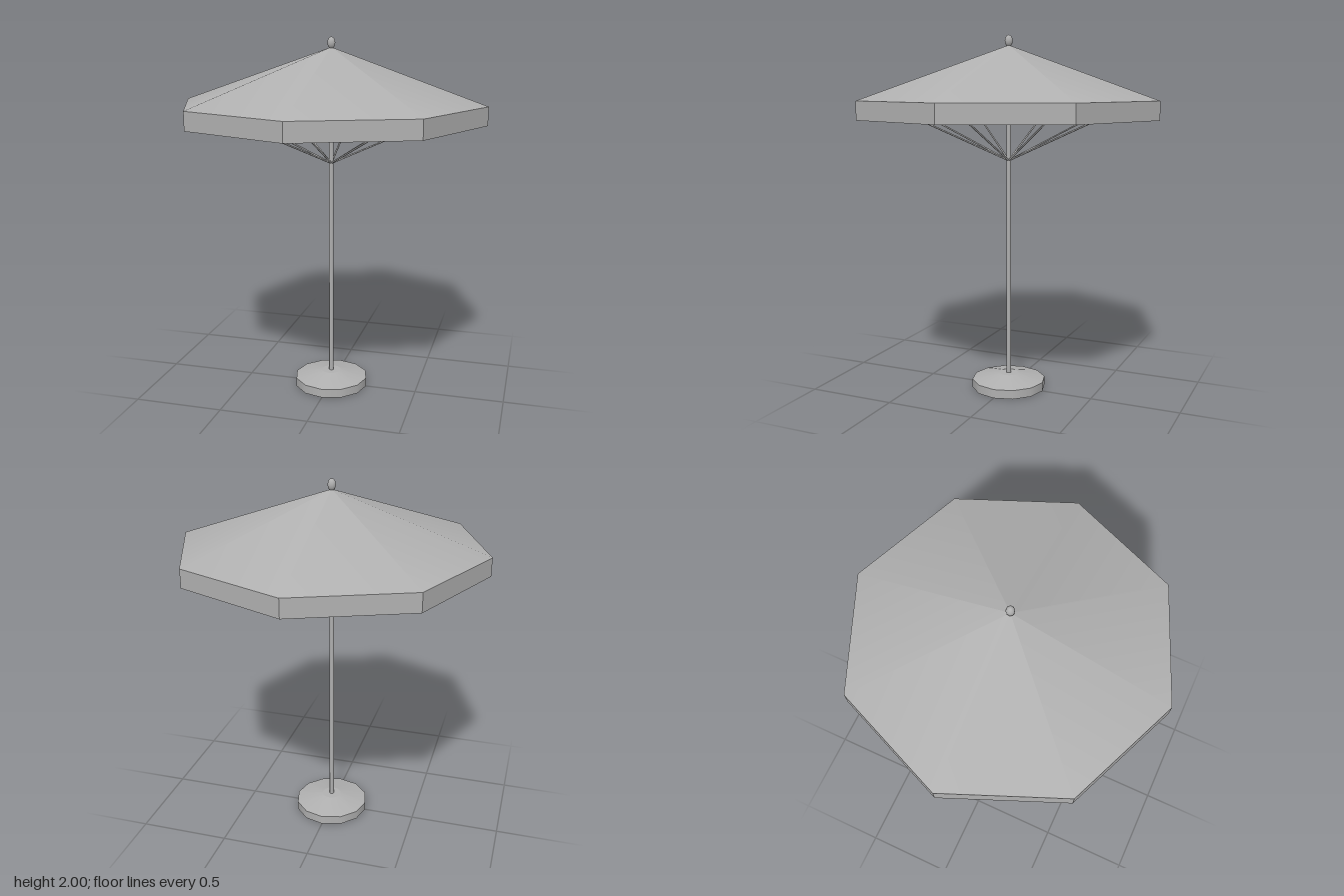
import * as THREE from 'three';

export function createModel() {
  const group = new THREE.Group();
  const gray = new THREE.MeshStandardMaterial({ color: 0xb0b0b0, side: THREE.DoubleSide });
  gray.name = 'plain gray';

  const add = (name, geometry, y = 0, parent = group) => {
    const mesh = new THREE.Mesh(geometry, gray);
    mesh.name = name;
    mesh.position.y = y;
    parent.add(mesh);
    return mesh;
  };
  // Separate faces for crisp edges
  const faceted = (geometry) => {
    const flat = geometry.toNonIndexed();
    flat.computeVertexNormals();
    return flat;
  };

  // Weighted base: hollow underneath, low sloped top
  const base = new THREE.Group();
  base.name = 'base';
  group.add(base);
  add('baseWall', new THREE.CylinderGeometry(0.21, 0.21, 0.05, 12, 1, true), 0.025, base);
  add('baseSlope', new THREE.CylinderGeometry(0.055, 0.21, 0.033, 12, 1, true), 0.0665, base);
  const cap = add('baseTop', new THREE.CircleGeometry(0.055, 12), 0.083, base);
  cap.rotation.x = -Math.PI / 2;

  // Pole
  add('pole', new THREE.CylinderGeometry(0.013, 0.013, 1.86, 8), 1.005);

  // Eight-sided canopy with a hanging valance
  const canopyRadius = 0.845;
  add('canopy', new THREE.ConeGeometry(canopyRadius, 0.295, 8, 1, true), 1.7975);
  add('valance', faceted(new THREE.CylinderGeometry(canopyRadius, canopyRadius, 0.1, 8, 1, true)), 1.6);

  // Ribs from the pole out to each canopy seam
  const ribs = new THREE.Group();
  ribs.name = 'ribs';
  group.add(ribs);
  const up = new THREE.Vector3(0, 1, 0);
  const start = new THREE.Vector3(0, 1.315, 0);
  for (let i = 0; i < 8; i++) {
    const a = (i * Math.PI) / 4;
    const end = new THREE.Vector3(Math.sin(a) * 0.765, 1.665, Math.cos(a) * 0.765);
    const span = end.clone().sub(start);
    const rib = add('rib', new THREE.CylinderGeometry(0.005, 0.005, span.length(), 6), 0, ribs);
    rib.position.copy(start).add(end).multiplyScalar(0.5);
    rib.quaternion.setFromUnitVectors(up, span.normalize());
  }

  // Egg-shaped finial
  const finial = add('finial', new THREE.SphereGeometry(0.022, 12, 8), 1.968);
  finial.scale.y = 1.45;

  return group;
}
